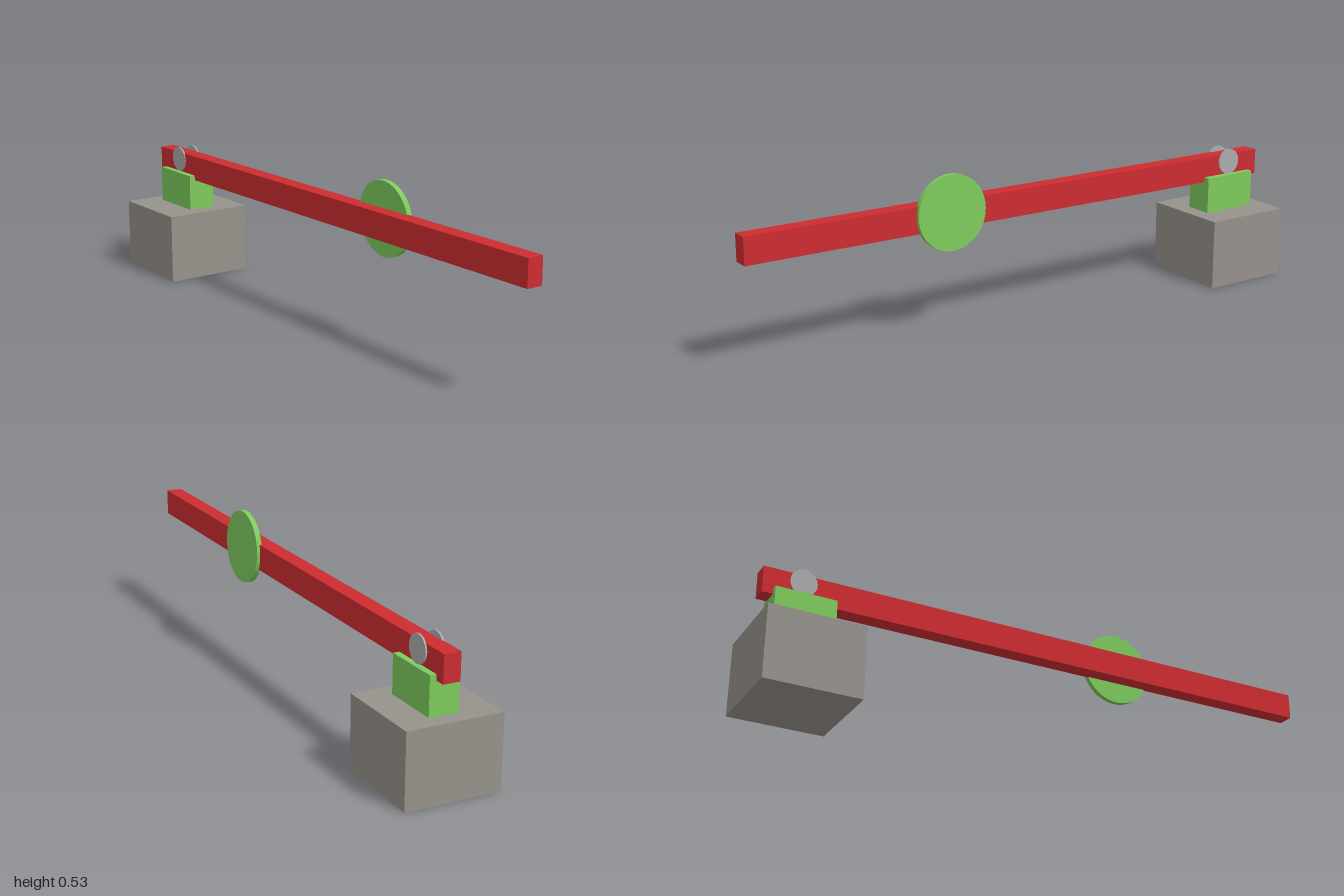
import * as THREE from 'three';

const mat = (color) => new THREE.MeshStandardMaterial({ color });
const RED = mat(0xcc2c30), GREEN = mat(0x7dca5c), STONE = mat(0x96918b), STEEL = mat(0xaaaaaa);

export function createModel() {
  const model = new THREE.Group();
  model.name = 'barrierGate';

  const add = (name, geometry, material, x, y, z) => {
    const mesh = new THREE.Mesh(geometry, material);
    mesh.name = name;
    mesh.position.set(x, y, z);
    model.add(mesh);
    return mesh;
  };

  // Thin upright disc facing z, leaning very slightly forward
  const disc = (name, radius, depth, material, x, y, z) => {
    const geometry = new THREE.CylinderGeometry(radius, radius, depth, 48).rotateX(Math.PI / 2);
    add(name, geometry, material, x, y, z).rotation.x = 0.029;
  };

  // Foundation and pivot support
  add('base', new THREE.BoxGeometry(0.312, 0.24, 0.314), STONE, -0.844, 0.12, 0);
  add('pivotBlock', new THREE.BoxGeometry(0.2, 0.126, 0.097), GREEN, -0.845, 0.302, -0.0055);

  // Long arm, tilted up a little towards its free end
  const arm = add('arm', new THREE.BoxGeometry(1.98, 0.088, 0.055), RED, 0.01, 0.396, -0.0055);
  arm.rotation.z = 0.006;

  // Pivot caps on both faces of the arm
  disc('frontPivotCap', 0.044, 0.006, STEEL, -0.85, 0.409, 0.0215);
  disc('backPivotCap', 0.044, 0.006, STEEL, -0.85, 0.409, -0.036);

  // Round sign plate on the back of the arm
  disc('signDisc', 0.123, 0.018, GREEN, 0.3, 0.407, -0.0355);

  return model;
}
